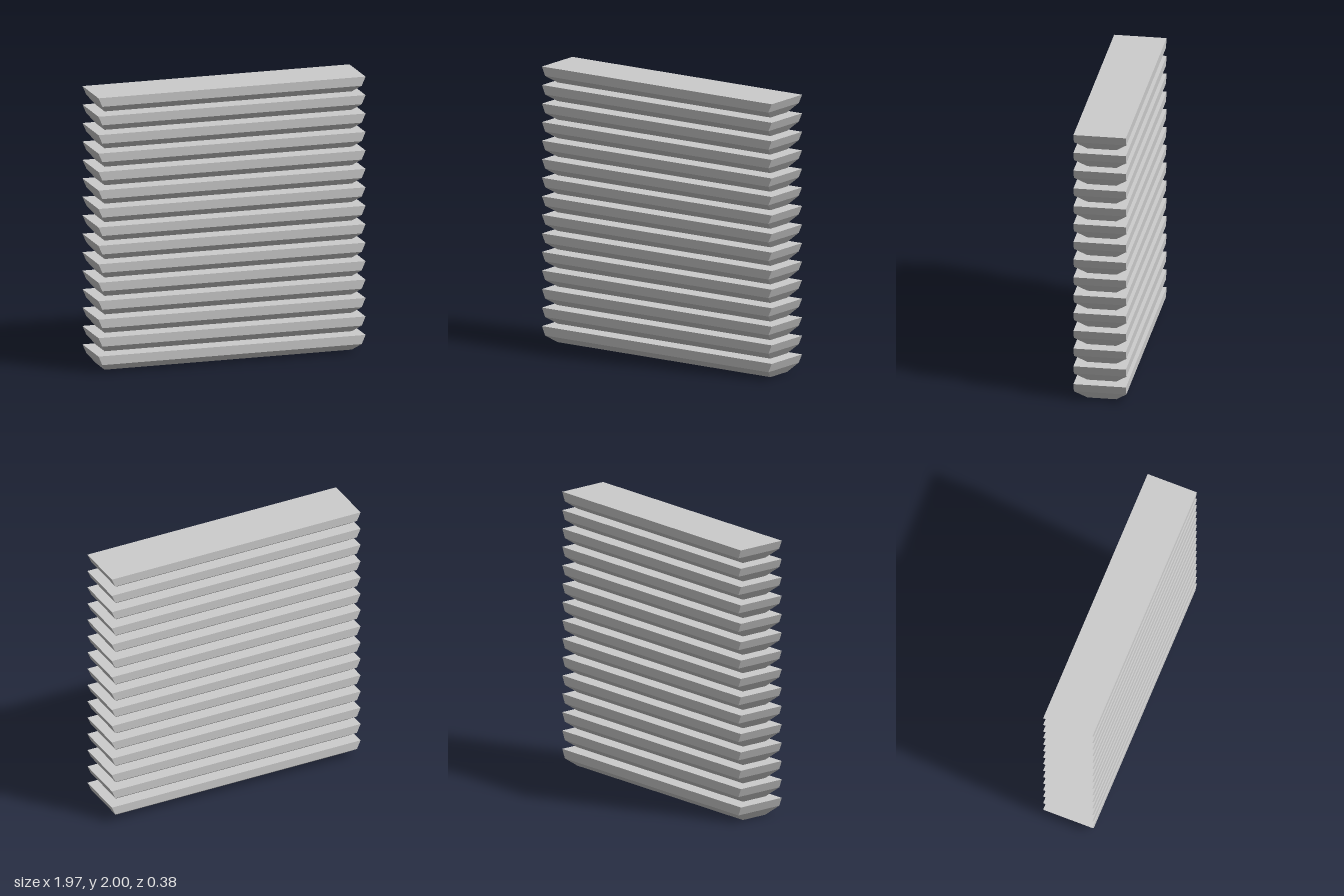
import * as THREE from 'three';

const COUNT = 15, HEIGHT = 0.122;

// Slat sections from bottom to top: height, half length, front z, back z
const SECTIONS = [
  { y: 0, x: 0.91, front: 0.095, back: -0.11 },
  { y: 0.058, x: 0.955, front: 0.185, back: -0.187 },
  { y: HEIGHT, x: 0.983, front: 0.185, back: -0.187 },
];

// A box with one extra ring, its rings fitted to the sections
function slatGeometry() {
  const box = new THREE.BoxGeometry(2, 2, 2, 1, 2, 1);
  const p = box.attributes.position;
  for (let i = 0; i < p.count; i++) {
    const s = SECTIONS[Math.round(p.getY(i)) + 1];
    p.setXYZ(i, Math.sign(p.getX(i)) * s.x, s.y, p.getZ(i) > 0 ? s.front : s.back);
  }
  const geometry = box.toNonIndexed();
  geometry.computeVertexNormals();
  return geometry;
}

export function createModel() {
  const model = new THREE.Group();
  model.name = 'slatStack';
  const material = new THREE.MeshStandardMaterial({ color: 0xcccccc, flatShading: true });
  const geometry = slatGeometry();
  const pitch = (2 - 0.004 - HEIGHT) / (COUNT - 1);

  // Evenly stacked slats, each leaning back very slightly
  for (let i = 0; i < COUNT; i++) {
    const slat = new THREE.Mesh(geometry, material);
    slat.name = `slat${i + 1}`;
    slat.position.y = 0.002 + i * pitch;
    slat.rotation.set(-0.012, 0.004, 0);
    model.add(slat);
  }
  return model;
}
